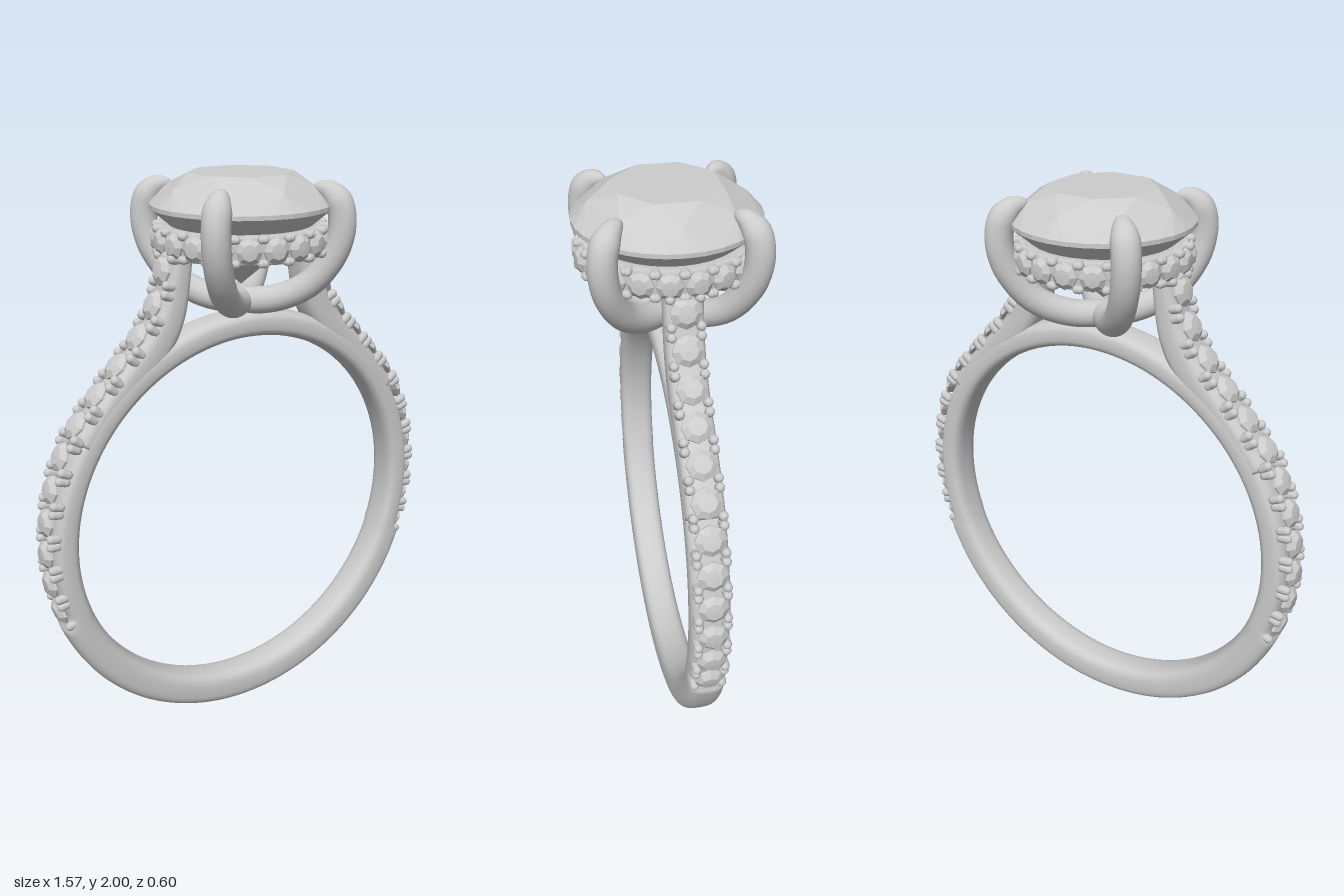
import * as THREE from 'three';
import { ConvexGeometry } from 'three/addons/geometries/ConvexGeometry.js';

const silver = new THREE.MeshStandardMaterial({ color: 0xcccccc });
silver.name = 'silver';

const v2 = (p) => new THREE.Vector2(p[0], p[1]);
const spline = (pts) => new THREE.SplineCurve(pts.map(v2));

function add(parent, name, geometry) {
  const mesh = new THREE.Mesh(geometry, silver);
  mesh.name = name;
  parent.add(mesh);
  return mesh;
}

// Sweep a superellipse section through stations in the XY plane.
// Station: c = centre, n = half thickness vector (right of travel), w = half width in z.
function sweep(stations, power, closed) {
  const sides = 28, pos = [], index = [];
  const pw = (v) => Math.sign(v) * Math.pow(Math.abs(v), 2 / power);
  for (const { c, n, w } of stations) {
    for (let j = 0; j < sides; j++) {
      const a = (j / sides) * Math.PI * 2;
      const k = pw(Math.cos(a));
      pos.push(c.x + n.x * k, c.y + n.y * k, -w * pw(Math.sin(a)));
    }
  }
  const count = stations.length;
  for (let i = 0; i < (closed ? count : count - 1); i++) {
    for (let j = 0; j < sides; j++) {
      const i2 = (i + 1) % count, j2 = (j + 1) % sides;
      const a = i * sides + j, b = i2 * sides + j, c = i2 * sides + j2, d = i * sides + j2;
      index.push(a, d, b, b, d, c);
    }
  }
  const g = new THREE.BufferGeometry();
  g.setAttribute('position', new THREE.Float32BufferAttribute(pos, 3));
  g.setIndex(index);
  g.computeVertexNormals();
  return g;
}

// Close both ends of an open sweep with a point
function capped(stations) {
  const end = (s) => ({ c: s.c, n: new THREE.Vector2(), w: 0 });
  return [end(stations[0]), ...stations, end(stations[stations.length - 1])];
}

// Finger band: thick plain base, thinner where the small stones sit
function bandGeometry() {
  const stations = [], count = 180;
  for (let i = 0; i < count; i++) {
    const a = (i / count) * Math.PI * 2, s = Math.sin(a);
    const inner = 0.66, outer = s < -0.34 ? 0.778 + 0.012 * (-s - 0.34) / 0.66 : 0.75;
    const dir = new THREE.Vector2(Math.cos(a), s);
    stations.push({
      c: dir.clone().multiplyScalar((inner + outer) / 2).add(new THREE.Vector2(0, 0.79)),
      n: dir.clone().multiplyScalar((outer - inner) / 2),
      w: 0.065,
    });
  }
  return sweep(stations, 3, true);
}

// Shoulder rising from the band to the halo
const shoulderOuter = [[0.65, 1.2], [0.57, 1.3], [0.48, 1.4], [0.39, 1.5], [0.322, 1.61], [0.277, 1.76]];
const shoulderInner = [[0.565, 1.14], [0.49, 1.25], [0.41, 1.33], [0.3, 1.43], [0.235, 1.56], [0.205, 1.76]];

function shoulderGeometry() {
  const outer = spline(shoulderOuter), inner = spline(shoulderInner), stations = [];
  for (let i = 0; i <= 40; i++) {
    const o = outer.getPoint(i / 40), p = inner.getPoint(i / 40);
    stations.push({
      c: o.clone().add(p).multiplyScalar(0.5),
      n: o.clone().sub(p).multiplyScalar(0.5),
      w: 0.063,
    });
  }
  return sweep(capped(stations), 3, false);
}

// U-shaped wire forming two opposite claws with tapered tips
function clawGeometry() {
  const half = [[0.24, 1.96], [0.29, 1.945], [0.328, 1.9], [0.335, 1.82], [0.305, 1.73], [0.23, 1.64], [0.12, 1.588]];
  const left = half.map(([x, y]) => [-x, y]);
  const curve = spline([...left, [0, 1.576], ...half.slice().reverse()]);
  const stations = [], count = 80;
  for (let i = 0; i <= count; i++) {
    const u = 0.5 - 0.5 * Math.cos((i / count) * Math.PI);
    const t = curve.getTangentAt(u);
    const r = 0.046 * Math.min(1, Math.sqrt(Math.min(u, 1 - u) / 0.07));
    stations.push({
      c: curve.getPointAt(u),
      n: new THREE.Vector2(t.y, -t.x).multiplyScalar(r),
      w: r,
    });
  }
  return sweep(stations, 2, false);
}

// Round brilliant main stone
function gemGeometry() {
  const pts = [new THREE.Vector3(0, 1.63, 0)];
  const ring = (n, r, y, offset) => {
    for (let i = 0; i < n; i++) {
      const a = ((i + offset) / n) * Math.PI * 2;
      pts.push(new THREE.Vector3(r * Math.cos(a), y, r * Math.sin(a)));
    }
  };
  ring(8, 0.175, 2.0, 0.5);
  ring(8, 0.25, 1.958, 0);
  ring(32, 0.302, 1.902, 0);
  ring(32, 0.302, 1.888, 0);
  ring(8, 0.1, 1.718, 0.5);
  return new ConvexGeometry(pts);
}

// Small faceted stone, pointing up
function smallStoneGeometry() {
  const profile = [[0, -0.02], [0.05, -0.006], [0.05, 0.002], [0.03, 0.018], [0, 0.02]].map(v2);
  const g = new THREE.LatheGeometry(profile, 8).toNonIndexed();
  g.computeVertexNormals();
  return g;
}

const stoneGeometry = smallStoneGeometry();
const beadGeometry = new THREE.CapsuleGeometry(0.016, 0.022, 4, 8);

// One small stone held by four beads
function setting(parent, name) {
  const g = new THREE.Group();
  g.name = name;
  add(g, 'smallStone', stoneGeometry);
  for (const sx of [-1, 1]) {
    for (const sz of [-1, 1]) {
      add(g, 'bead', beadGeometry).position.set(sx * 0.043, -0.014, sz * 0.046);
    }
  }
  parent.add(g);
  return g;
}

export function createModel() {
  const ring = new THREE.Group();
  ring.name = 'ring';
  add(ring, 'band', bandGeometry());

  // Both jewelled sides, the second turned half way round
  const shoulder = shoulderGeometry();
  const pave = spline([[0.715, 0.53], [0.752, 0.67], [0.764, 0.81], [0.752, 0.95], [0.718, 1.08],
    ...shoulderOuter.map(([x, y]) => [x + 0.009, y + 0.006])]);
  for (const side of ['left', 'right']) {
    const g = new THREE.Group();
    g.name = side + 'Side';
    add(g, side + 'Shoulder', shoulder);
    for (let i = 0; i < 12; i++) {
      const u = (i + 0.5) / 12, p = pave.getPointAt(u), t = pave.getTangentAt(u);
      const s = setting(g, 'bandStoneSetting');
      s.position.set(p.x, p.y, 0);
      s.rotation.z = Math.atan2(-t.y, -t.x);
    }
    if (side === 'right') g.rotation.y = Math.PI;
    ring.add(g);
  }

  // Halo under the main stone
  const halo = new THREE.Group();
  halo.name = 'halo';
  const profile = [[0.225, 1.755], [0.235, 1.745], [0.27, 1.745], [0.28, 1.755], [0.28, 1.825],
    [0.27, 1.835], [0.235, 1.835], [0.225, 1.825], [0.225, 1.755]].map(v2);
  add(halo, 'haloRing', new THREE.LatheGeometry(profile, 64));
  for (let i = 0; i < 20; i++) {
    const pivot = new THREE.Group();
    pivot.name = 'haloStone';
    pivot.rotation.y = ((i + 0.5) / 20) * Math.PI * 2;
    const s = setting(pivot, 'haloStoneSetting');
    s.position.set(0.284, 1.79, 0);
    s.rotation.z = -Math.PI / 2;
    s.scale.setScalar(0.86);
    halo.add(pivot);
  }
  ring.add(halo);

  // Main stone and the two crossing claw wires
  add(ring, 'mainStone', gemGeometry());
  const claw = clawGeometry();
  for (const a of [1, 3]) add(ring, 'clawPair', claw).rotation.y = (a * Math.PI) / 4;

  return ring;
}
